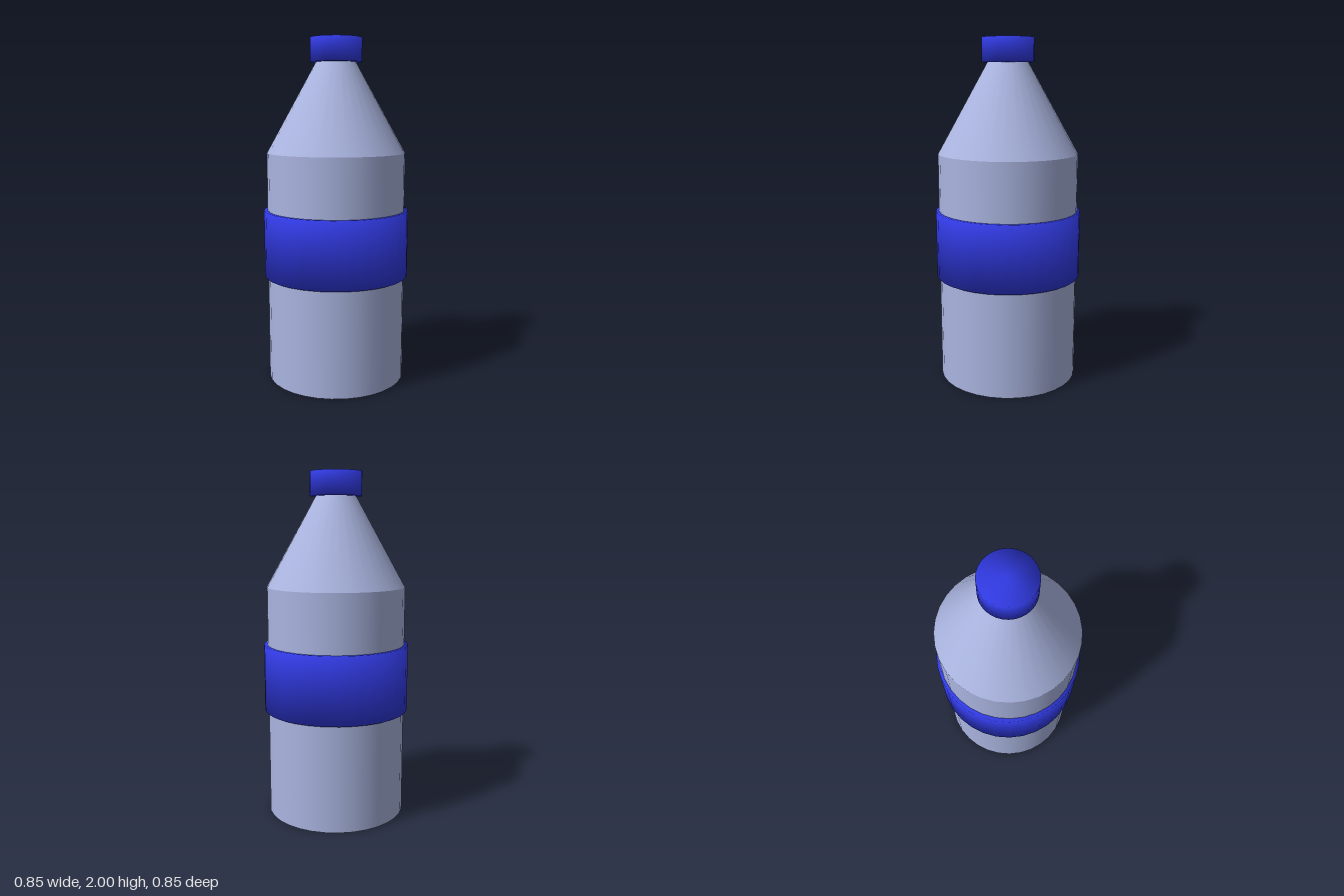
import * as THREE from 'three';
import { mergeVertices } from 'three/addons/utils/BufferGeometryUtils.js';

const SIDES = 32;

// Capped cylinder whose normals are shared across the rims for soft shading
function softCylinder(radius, height) {
  const geometry = new THREE.CylinderGeometry(radius, radius, height, SIDES);
  geometry.deleteAttribute('normal');
  geometry.deleteAttribute('uv');
  const merged = mergeVertices(geometry, 1e-4);
  merged.computeVertexNormals();
  return merged;
}

export function createModel() {
  const bottle = new THREE.Group();
  bottle.name = 'bottle';

  const plastic = new THREE.MeshStandardMaterial({ color: 0xaab5e0 });
  plastic.name = 'pale blue plastic';
  const blue = new THREE.MeshStandardMaterial({ color: 0x3039e0 });
  blue.name = 'bright blue';

  function add(name, geometry, material, bottom, top) {
    const mesh = new THREE.Mesh(geometry, material);
    mesh.name = name;
    mesh.position.y = (bottom + top) / 2;
    bottle.add(mesh);
    return mesh;
  }

  // Straight body and tapered shoulder, with a sharp edge between them
  const body = add('body', new THREE.CylinderGeometry(0.403, 0.403, 1.345, SIDES), plastic, 0, 1.345);
  const shoulder = add('shoulder', new THREE.CylinderGeometry(0.115, 0.403, 0.52, SIDES), plastic, 1.345, 1.865);
  body.scale.z = shoulder.scale.z = 1.01;

  // Label band around the body, and screw cap
  add('labelBand', softCylinder(0.425, 0.39), blue, 0.62, 1.01);
  add('cap', softCylinder(0.15, 0.138), blue, 1.862, 2);

  return bottle;
}
